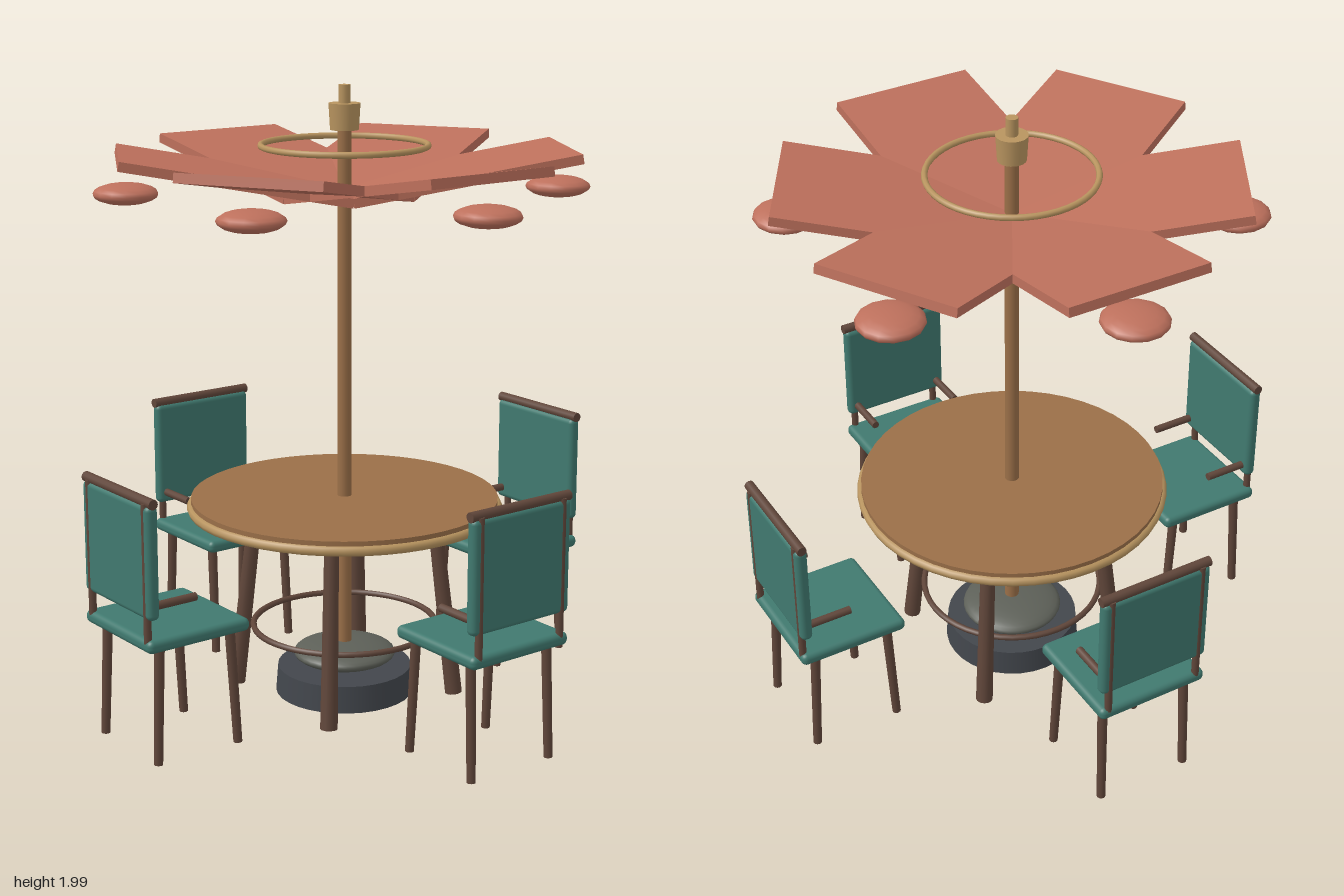
import * as THREE from 'three';
import { RoundedBoxGeometry } from 'three/addons/geometries/RoundedBoxGeometry.js';

const mat = (color) => new THREE.MeshStandardMaterial({ color });
const teal = mat(0x40796f), darkWood = mat(0x60463a), wood = mat(0x9a6f48);
const tan = mat(0xb8945f), terracotta = mat(0xbd705c), iron = mat(0x42464c), stone = mat(0x5d6058);

function add(parent, name, geometry, material, x = 0, y = 0, z = 0) {
  const mesh = new THREE.Mesh(geometry, material);
  mesh.name = name;
  mesh.position.set(x, y, z);
  parent.add(mesh);
  return mesh;
}

// Round bar running from point a to point b
function bar(parent, name, a, b, rA, rB, material, sides = 12) {
  const from = new THREE.Vector3(...a), to = new THREE.Vector3(...b);
  const dir = to.clone().sub(from);
  const mesh = add(parent, name, new THREE.CylinderGeometry(rB, rA, dir.length(), sides), material);
  mesh.position.copy(from).add(to).multiplyScalar(0.5);
  mesh.quaternion.setFromUnitVectors(new THREE.Vector3(0, 1, 0), dir.normalize());
  return mesh;
}

function ring(parent, name, radius, tube, y, material) {
  const mesh = add(parent, name, new THREE.TorusGeometry(radius, tube, 8, 48), material, 0, y, 0);
  mesh.rotation.x = Math.PI / 2;
  return mesh;
}

// Chair with its back on the +z side, facing the table
function createChair() {
  const chair = new THREE.Group();
  chair.name = 'chair';
  add(chair, 'seat', new RoundedBoxGeometry(0.38, 0.042, 0.365, 3, 0.018), teal, 0, 0.397, 0.686);
  add(chair, 'backPanel', new RoundedBoxGeometry(0.38, 0.355, 0.04, 3, 0.017), teal, 0, 0.658, 0.846);
  bar(chair, 'topRail', [-0.193, 0.842, 0.847], [0.193, 0.842, 0.847], 0.016, 0.016, darkWood);
  for (const s of [-1, 1]) {
    bar(chair, 'backPost', [s * 0.16, 0.39, 0.856], [s * 0.16, 0.84, 0.856], 0.012, 0.012, darkWood);
    bar(chair, 'armrest', [s * 0.16, 0.518, 0.685], [s * 0.16, 0.518, 0.856], 0.013, 0.013, darkWood);
    bar(chair, 'frontLeg', [s * 0.155, 0.008, 0.535], [s * 0.15, 0.385, 0.557], 0.014, 0.016, darkWood);
    bar(chair, 'backLeg', [s * 0.155, 0.008, 0.826], [s * 0.15, 0.385, 0.81], 0.014, 0.016, darkWood);
  }
  return chair;
}

function createTable() {
  const table = new THREE.Group();
  table.name = 'table';
  add(table, 'tableTop', new THREE.CylinderGeometry(0.498, 0.498, 0.032, 48), wood, 0, 0.66, 0);
  ring(table, 'tableRim', 0.495, 0.017, 0.645, tan);
  ring(table, 'footRing', 0.3, 0.01, 0.237, darkWood);
  for (const sx of [-1, 1]) for (const sz of [-1, 1]) {
    bar(table, 'tableLeg', [sx * 0.257, 0.012, sz * 0.257], [sx * 0.205, 0.645, sz * 0.205], 0.028, 0.023, darkWood);
  }
  return table;
}

function createParasol() {
  const parasol = new THREE.Group();
  parasol.name = 'parasol';
  // Weighted foot
  add(parasol, 'base', new THREE.CylinderGeometry(0.22, 0.227, 0.088, 32), iron, 0, 0.052, 0);
  add(parasol, 'baseDome', new THREE.SphereGeometry(1, 32, 16), stone, 0, 0.137, 0).scale.set(0.167, 0.04, 0.167);
  // Pole and finial
  bar(parasol, 'pole', [0, 0.1, 0], [0, 1.9, 0], 0.024, 0.022, wood, 16);
  bar(parasol, 'finial', [0, 1.86, 0], [0, 1.943, 0], 0.045, 0.05, tan, 20);
  bar(parasol, 'poleTip', [0, 1.9, 0], [0, 2, 0], 0.019, 0.019, tan, 16);
  ring(parasol, 'canopyRing', 0.262, 0.01, 1.812, tan);
  // Six upturned panels, each with a flattened pendant under its end
  const panel = new THREE.BoxGeometry(0.468, 0.03, 0.718);
  panel.translate(0, 0, 0.359);
  const pendant = new THREE.SphereGeometry(1, 14, 10);
  for (let i = 0; i < 6; i++) {
    const petal = new THREE.Group();
    petal.name = 'petal';
    petal.rotation.y = (i * Math.PI) / 3;
    add(petal, 'canopyPanel', panel, terracotta, 0, 1.662, 0).rotation.x = -0.173;
    add(petal, 'pendant', pendant, terracotta, 0, 1.672, 0.683).scale.set(0.103, 0.034, 0.103);
    parasol.add(petal);
  }
  return parasol;
}

export function createModel() {
  const model = new THREE.Group();
  model.name = 'patioSet';
  model.add(createTable(), createParasol());
  for (let i = 0; i < 4; i++) {
    const chair = createChair();
    chair.rotation.y = (i * Math.PI) / 2;
    model.add(chair);
  }
  return model;
}
